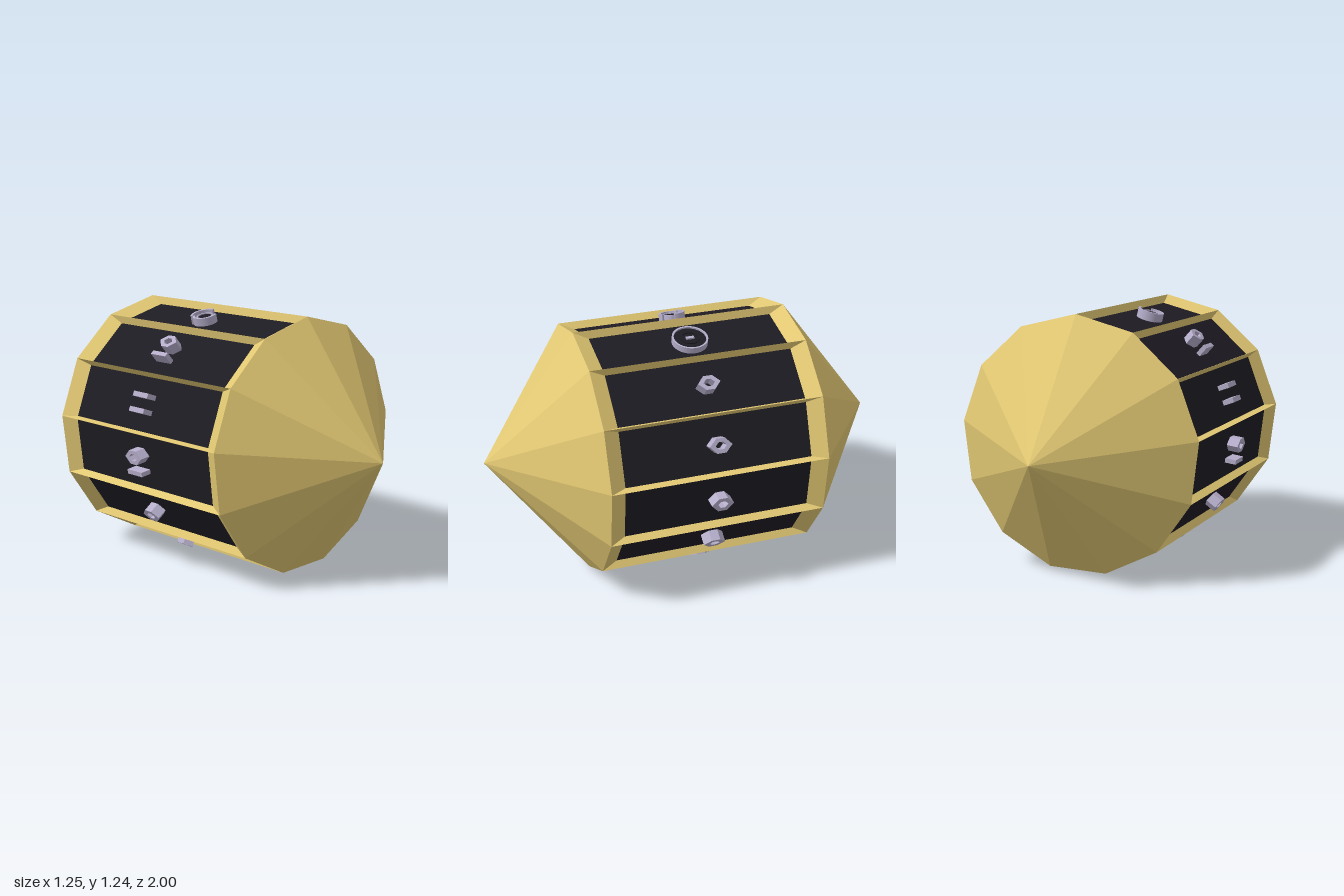
import * as THREE from 'three';

const SIDES = 13, R = 0.619, CENTER_Y = 0.621;
const STEP = (Math.PI * 2) / SIDES;
const APOTHEM = R * Math.cos(STEP / 2);
const HALF_W = R * Math.sin(STEP / 2), HALF_L = 0.535;   // one long face
const DEPTH = 0.035, IN_W = HALF_W - 0.018, IN_L = 0.46; // recessed panel
const FLOOR = APOTHEM - DEPTH;

const gold = new THREE.MeshStandardMaterial({ color: 0xe2c873, flatShading: true });
const black = new THREE.MeshStandardMaterial({ color: 0x1e1c23 });
const lilac = new THREE.MeshStandardMaterial({ color: 0xb6aecb });

function add(parent, name, geometry, material) {
  const mesh = new THREE.Mesh(geometry, material);
  mesh.name = name;
  parent.add(mesh);
  return mesh;
}

// Sloped border running from the outer rectangle down to the panel
function frameGeometry() {
  const corners = [[-1, 1], [1, 1], [1, -1], [-1, -1]];
  const outer = ([x, z]) => [x * HALF_W, APOTHEM, z * HALF_L];
  const inner = ([x, z]) => [x * IN_W, FLOOR, z * IN_L];
  const p = [];
  corners.forEach((a, i) => {
    const b = corners[(i + 1) % 4];
    p.push(...outer(a), ...outer(b), ...inner(b), ...outer(a), ...inner(b), ...inner(a));
  });
  const g = new THREE.BufferGeometry();
  g.setAttribute('position', new THREE.Float32BufferAttribute(p, 3));
  g.computeVertexNormals();
  return g;
}

// Flat shape raised outward from the panel floor to a given height
function raise(shape, top) {
  const g = new THREE.ExtrudeGeometry(shape, { depth: top - FLOOR, bevelEnabled: false, curveSegments: 20 });
  return g.rotateX(-Math.PI / 2).translate(0, FLOOR, 0);
}

function barShape(x, w, h) {
  const s = new THREE.Shape();
  s.moveTo(x - w / 2, -h / 2);
  s.lineTo(x + w / 2, -h / 2);
  s.lineTo(x + w / 2, h / 2);
  s.lineTo(x - w / 2, h / 2);
  s.closePath();
  return s;
}

// Open lozenge ornament
function lozengeShape(x, w, h) {
  const draw = (path, k) => {
    const a = (w / 2) * k, b = (h / 2) * k;
    path.moveTo(x + a, -b * 0.4);
    path.lineTo(x + a, b * 0.4);
    path.lineTo(x, b);
    path.lineTo(x - a, b * 0.4);
    path.lineTo(x - a, -b * 0.4);
    path.lineTo(x, -b);
    path.closePath();
    return path;
  };
  const s = draw(new THREE.Shape(), 1);
  s.holes.push(draw(new THREE.Path(), 0.5));
  return s;
}

function arcShape(r, w, from, to) {
  const s = new THREE.Shape();
  s.absarc(0, 0, r, from, to, false);
  s.absarc(0, 0, r - w, to, from, true);
  return s;
}

function ringShape(r, w) {
  const s = new THREE.Shape().absarc(0, 0, r, 0, Math.PI * 2, false);
  s.holes.push(new THREE.Path().absarc(0, 0, r - w, 0, Math.PI * 2, true));
  return s;
}

function disc(r, top) {
  return raise(new THREE.Shape().absarc(0, 0, r, 0, Math.PI * 2, false), top);
}

function addMarker(face, i) {
  const high = APOTHEM + 0.02;
  if (i === 0) {
    // Round medallion
    add(face, 'medallionDisc', disc(0.08, APOTHEM - 0.012), black);
    add(face, 'medallionRing', raise(ringShape(0.087, 0.009), APOTHEM - 0.004), lilac);
    add(face, 'medallionInnerRing', raise(ringShape(0.045, 0.006), APOTHEM - 0.006), black);
    add(face, 'medallionStud', raise(barShape(0, 0.016, 0.04), APOTHEM - 0.004), lilac);
  } else if (i === SIDES - 1) {
    // Swirl of open arcs around a dark core
    add(face, 'swirlOuterArc', raise(arcShape(0.068, 0.012, 0.0, 2.4), APOTHEM + 0.01), lilac);
    add(face, 'swirlMiddleArc', raise(arcShape(0.06, 0.012, 2.2, 5.2), APOTHEM + 0.005), lilac);
    add(face, 'swirlInnerRing', raise(ringShape(0.04, 0.006), APOTHEM), lilac);
    add(face, 'swirlCore', disc(0.034, APOTHEM - 0.005), black);
  } else if (i === SIDES - 3) {
    for (const x of [-0.037, 0.037]) add(face, 'markerBar', raise(barShape(x, 0.024, 0.1), high), lilac);
  } else if (i >= SIDES - 4) {
    add(face, 'markerBar', raise(barShape(-0.045, 0.022, 0.1), high), lilac);
    add(face, 'markerLozenge', raise(lozengeShape(0.033, 0.068, 0.11), high), lilac);
  } else {
    add(face, 'markerLozenge', raise(lozengeShape(0, 0.07, 0.11), high), lilac);
  }
}

export function createModel() {
  const model = new THREE.Group();
  model.name = 'thirteenSidedDie';
  const body = new THREE.Group();
  body.name = 'body';
  body.position.y = CENTER_Y;
  model.add(body);

  // Pointed ends
  const tip = 1 - HALF_L;
  for (const side of [1, -1]) {
    const cone = new THREE.ConeGeometry(R, tip, SIDES, 1, true, side > 0 ? Math.PI : 0);
    cone.rotateX((side * Math.PI) / 2).translate(0, 0, side * (HALF_L + tip / 2));
    add(body, side > 0 ? 'frontPoint' : 'backPoint', cone, gold);
  }

  // Thirteen framed long faces, clockwise from the top ridge
  const frame = frameGeometry();
  const panel = new THREE.PlaneGeometry(IN_W * 2, IN_L * 2).rotateX(-Math.PI / 2).translate(0, FLOOR, 0);
  for (let i = 0; i < SIDES; i++) {
    const face = new THREE.Group();
    face.name = 'face' + (i + 1);
    face.rotation.z = -(i + 0.5) * STEP;
    add(face, 'frame', frame, gold);
    add(face, 'panel', panel, black);
    addMarker(face, i);
    body.add(face);
  }
  return model;
}
